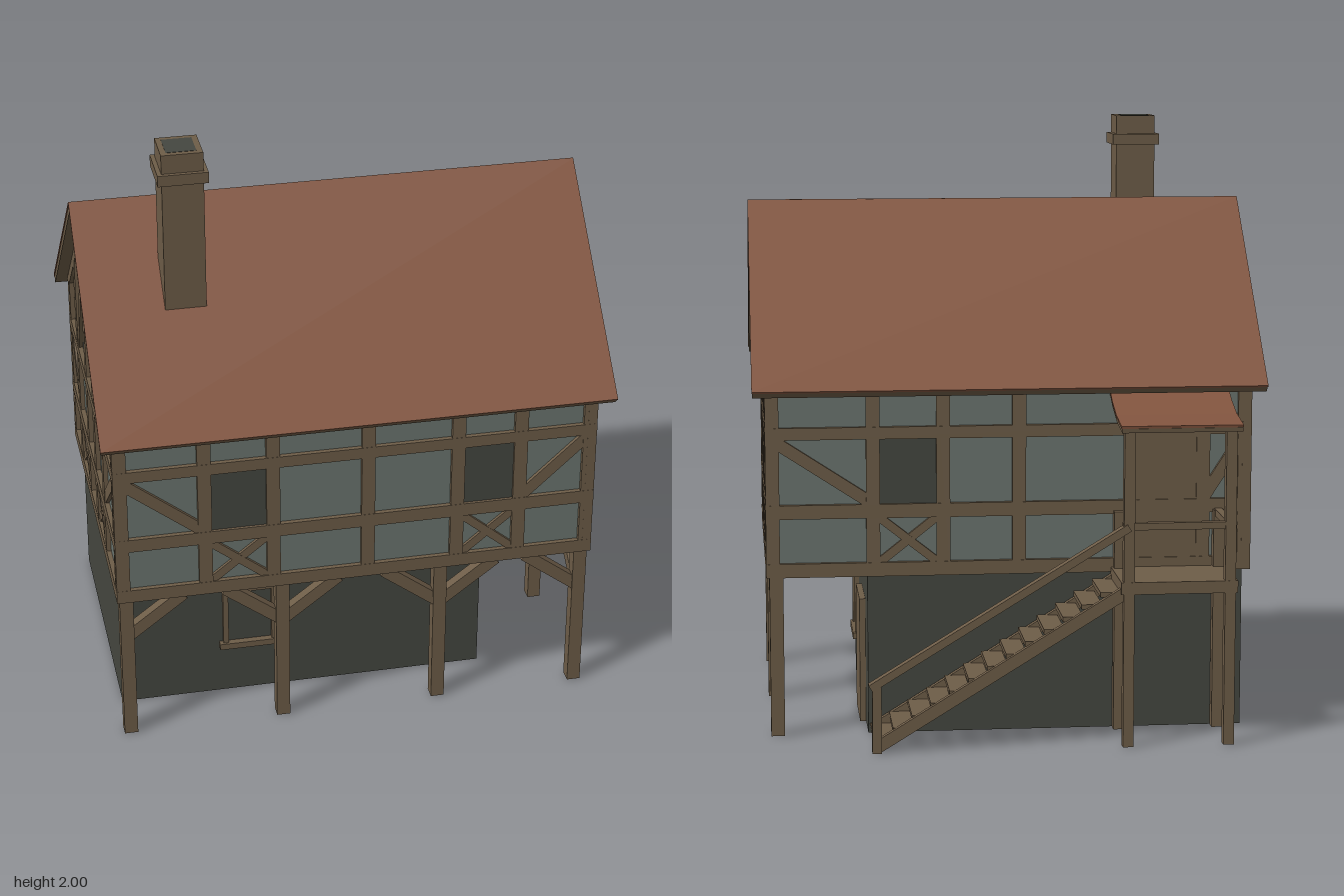
import * as THREE from 'three';

const mat = (name, hex) => {
  const m = new THREE.MeshStandardMaterial({ color: hex });
  m.name = name;
  return m;
};

export function createModel() {
  const wood = mat('timber', 0x6e5d48);
  const plaster = mat('plaster', 0x6c7670);
  const stone = mat('dark stone', 0x454740);
  const tile = mat('roof tile', 0x82553f);
  const house = new THREE.Group();
  house.name = 'timberHouse';

  const group = (name, parent = house) => {
    const g = new THREE.Group();
    g.name = name;
    parent.add(g);
    return g;
  };
  // Box given by its lower and upper limits
  const box = (parent, name, m, x0, x1, y0, y1, z0, z1) => {
    const o = new THREE.Mesh(new THREE.BoxGeometry(x1 - x0, y1 - y0, z1 - z0), m);
    o.position.set((x0 + x1) / 2, (y0 + y1) / 2, (z0 + z1) / 2);
    o.name = name;
    parent.add(o);
    return o;
  };
  // Sloping bar or slab between two points: w is level, h is square to it
  const bar = (parent, name, m, a, b, w, h) => {
    const p = new THREE.Vector3(...a), q = new THREE.Vector3(...b);
    const o = new THREE.Mesh(new THREE.BoxGeometry(w, h, p.distanceTo(q)), m);
    o.position.copy(p).lerp(q, 0.5);
    o.lookAt(q);
    o.name = name;
    parent.add(o);
    return o;
  };
  const post = (parent, name, x, z, top, w = 0.045, y0 = 0) =>
    box(parent, name, wood, x - w / 2, x + w / 2, y0, top, z - w / 2, z + w / 2);

  // Stone ground floor
  box(house, 'groundFloor', stone, -0.775, 0.47, 0, 0.54, -0.435, 0.46);

  // Plaster upper storey with gables
  const RIDGE = 0.105, roofY = z => 1.725 - 0.935 * Math.abs(z - RIDGE);
  const profile = new THREE.Shape([
    [-0.435, 0.55], [0.635, 0.55], [0.635, 1.205], [RIDGE, 1.69], [-0.435, 1.2],
  ].map(p => new THREE.Vector2(...p)));
  const shell = new THREE.ExtrudeGeometry(profile, { depth: 1.57, bevelEnabled: false });
  shell.translate(0, 0, -0.785).rotateY(-Math.PI / 2);
  const walls = new THREE.Mesh(shell, plaster);
  walls.name = 'upperWalls';
  house.add(walls);
  box(house, 'upperFloor', wood, -0.785, 0.785, 0.53, 0.56, -0.435, 0.635);

  // A wall frame: u runs to the viewer's right, local z points outward
  const face = (name, x, z, turn) => {
    const g = group(name);
    g.position.set(x, 0, z);
    g.rotation.y = turn;
    return g;
  };
  const timber = (g, name, u0, y0, u1, y1, w = 0.04, d = 0.03) => {
    const o = new THREE.Mesh(
      new THREE.BoxGeometry(Math.hypot(u1 - u0, y1 - y0), w, d), wood);
    o.position.set((u0 + u1) / 2, (y0 + y1) / 2, 0);
    o.rotation.z = Math.atan2(y1 - y0, u1 - u0);
    o.name = name;
    g.add(o);
  };
  const cross = (g, u0, u1) => {
    timber(g, 'crossBrace', u0, 0.575, u1, 0.725, 0.028, 0.022);
    timber(g, 'crossBrace', u0, 0.725, u1, 0.575, 0.028, 0.024);
  };
  const pane = (g, u0, u1, y0 = 0.77, y1 = 0.985) =>
    box(g, 'windowPane', stone, u0, u1, y0, y1, 0, 0.006);
  const frame = (g, uMin, uMax, studs, topOf) => {
    for (const [y, w] of [[0.553, 0.046], [0.747, 0.046], [1.005, 0.04]])
      timber(g, 'rail', uMin, y, uMax, y, w, 0.032);
    for (const u of studs) timber(g, 'stud', u, 0.53, u, topOf(u), 0.045);
    const [a, b] = studs, [c, d] = studs.slice(-2);
    timber(g, 'brace', a, 0.985, b, 0.77, 0.04, 0.026);
    timber(g, 'brace', c, 0.77, d, 0.985, 0.04, 0.026);
  };

  // Long walls
  const front = face('frontFrame', 0, 0.635, 0);
  frame(front, -0.8, 0.8, [-0.778, -0.505, -0.28, 0.035, 0.335, 0.545, 0.778], () => 1.2);
  const back = face('backFrame', 0, -0.435, Math.PI);
  frame(back, -0.8, 0.8, [-0.778, -0.45, -0.22, 0.03, 0.4, 0.64, 0.778], () => 1.2);
  for (const [g, u0, u1] of [[front, -0.49, -0.3], [front, 0.35, 0.53], [back, -0.43, -0.24]]) {
    pane(g, u0, u1);
    cross(g, u0, u1);
  }
  box(back, 'landingDoor', wood, 0.41, 0.63, 0.54, 0.985, 0, 0.012);

  // Gable walls
  const gable = (name, side) => {
    const g = face(name, side * 0.785, 0, side * Math.PI / 2);
    const s = -side;
    const studs = [-0.628, -0.38, -0.175, 0.01, 0.235, 0.428].map(u => side * u);
    if (side < 0) studs.reverse();
    const ends = [s * 0.65, s * -0.45].sort((a, b) => a - b);
    frame(g, ends[0], ends[1], studs, u => roofY(s * u) - 0.03);
    for (const z of [0.64, -0.44])
      timber(g, 'gableRafter', s * z, roofY(z) - 0.045, s * RIDGE, 1.68, 0.05);
    return g;
  };
  const right = gable('rightGableFrame', 1);
  pane(right, -0.365, -0.195);
  pane(right, 0.015, 0.215);
  cross(right, -0.36, -0.195);
  cross(right, 0.03, 0.215);
  const left = gable('leftGableFrame', -1);
  cross(left, 0.195, 0.36);
  cross(left, -0.215, -0.03);
  timber(left, 'gableBrace', 0.19, 1.5, 0.4, 1.02, 0.035, 0.026);
  timber(left, 'gableBrace', 0, 1.5, -0.22, 1.02, 0.035, 0.026);

  // Main roof: timber slab under a tile skin on each slope
  const roof = group('roof');
  for (const [z, sign] of [[0.72, 1], [-0.51, -1]]) {
    const n = [0, 0.73, sign * 0.683];
    const off = (y, zz, k) => [0, y + n[1] * k, zz + n[2] * k];
    bar(roof, 'roofBoards', wood, off(1.15, z, -0.014), off(1.725, RIDGE, -0.014), 1.68, 0.024);
    bar(roof, 'roofTiles', tile, off(1.15, z, 0), off(1.725, RIDGE, 0), 1.684, 0.008);
  }

  // Chimney with collar and dark flue
  const chimney = group('chimney');
  box(chimney, 'stack', wood, -0.578, -0.444, 1.4, 2, 0.26, 0.395);
  box(chimney, 'collar', wood, -0.592, -0.43, 1.9, 1.937, 0.245, 0.408);
  box(chimney, 'flue', stone, -0.56, -0.463, 1.995, 2.001, 0.278, 0.377);

  // Posts and braces carrying the overhang
  const supports = group('supports');
  const brace = (x, z, dx, dz) => bar(supports, 'postBrace', wood,
    [x, 0.385, z], [x + dx, 0.53, z + dz], 0.036, 0.042);
  const xs = [-0.77, -0.25, 0.285, 0.768];
  xs.forEach((x, i) => {
    post(supports, 'frontPost', x, 0.62, 0.54);
    if (i > 0) brace(x, 0.62, -0.19, 0);
    if (i < 3) brace(x, 0.62, 0.19, 0);
  });
  for (const z of [RIDGE, -0.43]) post(supports, 'sidePost', 0.768, z, 0.54);
  brace(0.768, 0.62, 0, -0.19);
  brace(0.768, RIDGE, 0, 0.19);
  brace(0.768, RIDGE, 0, -0.19);
  brace(0.768, -0.43, 0, 0.19);

  // Ground floor windows and door
  const baseWindow = (g, u) => {
    for (const s of [-1, 1]) timber(g, 'windowJamb', u + s * 0.083, 0.2, u + s * 0.083, 0.42, 0.018);
    timber(g, 'windowHead', u - 0.09, 0.411, u + 0.09, 0.411, 0.018);
    timber(g, 'windowSill', u - 0.105, 0.19, u + 0.105, 0.19, 0.022, 0.045);
  };
  baseWindow(face('frontBaseWindow', 0, 0.46, 0), -0.332);
  const sideBase = face('sideBaseOpenings', 0.47, 0, Math.PI / 2);
  baseWindow(sideBase, -0.258);
  box(sideBase, 'groundDoor', wood, 0.04, 0.287, 0, 0.42, -0.01, 0.02);

  // Landing with posts, rails and curved canopy
  const landing = group('landing');
  box(landing, 'deck', wood, -0.715, -0.335, 0.505, 0.545, -0.7, -0.435);
  for (const x of [-0.69, -0.36]) {
    post(landing, 'canopyPost', x, -0.682, 1.055, 0.035);
    post(landing, 'deckPost', x, -0.458, 0.735, 0.035);
  }
  box(landing, 'handrail', wood, -0.71, -0.34, 0.715, 0.738, -0.695, -0.67);
  box(landing, 'handrail', wood, -0.702, -0.678, 0.715, 0.738, -0.695, -0.44);
  const curve = [[-0.43, 1.143], [-0.5, 1.105], [-0.6, 1.072], [-0.725, 1.054]];
  for (let i = 0; i < 3; i++) {
    const [z0, y0] = curve[i], [z1, y1] = curve[i + 1];
    bar(landing, 'canopyBoards', wood, [-0.525, y0 - 0.011, z0], [-0.525, y1 - 0.011, z1], 0.39, 0.014);
    bar(landing, 'canopyTiles', tile, [-0.525, y0, z0], [-0.525, y1, z1], 0.394, 0.008);
  }

  // Open staircase descending towards the right
  const stairs = group('stairs');
  const steps = 13;
  for (let i = 0; i < steps; i++) {
    const t = (i + 0.5) / steps, x = -0.335 + 0.795 * t, y = 0.52 - 0.51 * t;
    box(stairs, 'tread', wood, x - 0.034, x + 0.034, y - 0.008, y + 0.008, -0.67, -0.455);
  }
  for (const z of [-0.452, -0.675])
    bar(stairs, 'stringer', wood, [-0.345, 0.505, z], [0.455, 0.015, z], 0.022, 0.04);
  bar(stairs, 'stairHandrail', wood, [-0.36, 0.725, -0.687], [0.475, 0.215, -0.687], 0.035, 0.025);
  post(stairs, 'newelPost', 0.455, -0.687, 0.22, 0.03);

  return house;
}
